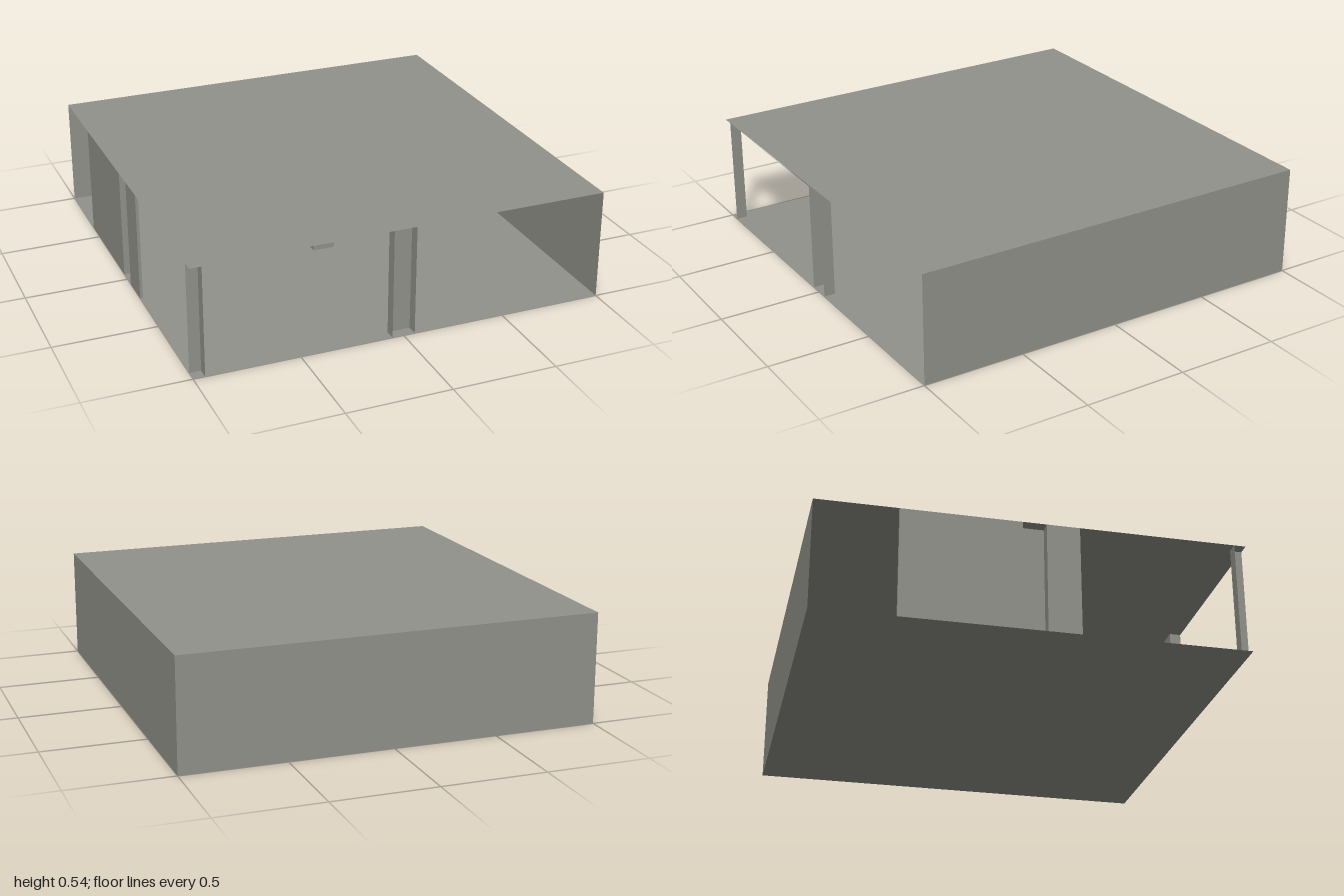
import * as THREE from 'three';

const H = 0.535; // storey height
const T = 0.055; // half width of a pillar

export function createModel() {
  const model = new THREE.Group();
  const concrete = new THREE.MeshStandardMaterial({ color: 0x92928b, side: THREE.DoubleSide });
  concrete.name = 'concrete grey';

  const add = (name, geometry, parent = model) => {
    const mesh = new THREE.Mesh(geometry, concrete);
    mesh.name = name;
    parent.add(mesh);
    return mesh;
  };
  // Upright sheet facing +z or -z, from x0 to x1
  const sheetZ = (name, x0, x1, z, parent, back = false) => {
    const g = new THREE.PlaneGeometry(x1 - x0, H);
    if (back) g.rotateY(Math.PI);
    add(name, g.translate((x0 + x1) / 2, H / 2, z), parent);
  };
  // Upright sheet facing +x or -x, from z0 to z1
  const sheetX = (name, z0, z1, x, parent, left = true) => {
    const g = new THREE.PlaneGeometry(z1 - z0, H).rotateY(left ? Math.PI / 2 : -Math.PI / 2);
    add(name, g.translate(x, H / 2, (z0 + z1) / 2), parent);
  };

  // Floor and ceiling
  add('floor', new THREE.PlaneGeometry(2, 2).rotateX(Math.PI / 2));
  add('roof', new THREE.PlaneGeometry(2, 2).rotateX(-Math.PI / 2).translate(0, H, 0));

  // Two closed sides
  sheetZ('backWall', -1, 1, -1, model, true);
  sheetX('leftWall', -1, 1, 1, model);

  // Pillars, cut open where they meet the edge of the floor
  const pillar = (name, cx, cz) => {
    const group = new THREE.Group();
    group.name = name;
    const x0 = Math.max(cx - T, -1), x1 = cx + T;
    const z0 = cz - T, z1 = Math.min(cz + T, 1);
    sheetX('pillarSide', z0, z1, x1, group);
    if (x0 > -1) sheetX('pillarSide', z0, z1, x0, group, false);
    sheetZ('pillarBack', x0, x1, z0, group, true);
    if (z1 < 1) sheetZ('pillarFront', x0, x1, z1, group);
    model.add(group);
  };
  pillar('cornerPillar', -1, 1);
  pillar('frontPillar', 0, 1);
  pillar('sidePillar', -1, 0);
  pillar('centrePillar', 0, 0);

  // Thin partition on the open side, on both sides of its pillar
  for (const [z0, z1] of [[-0.615, -T], [T, 0.21]]) {
    add('partition', new THREE.BoxGeometry(0.014, H, z1 - z0)
      .translate(-0.993, H / 2, (z0 + z1) / 2));
  }
  return model;
}
